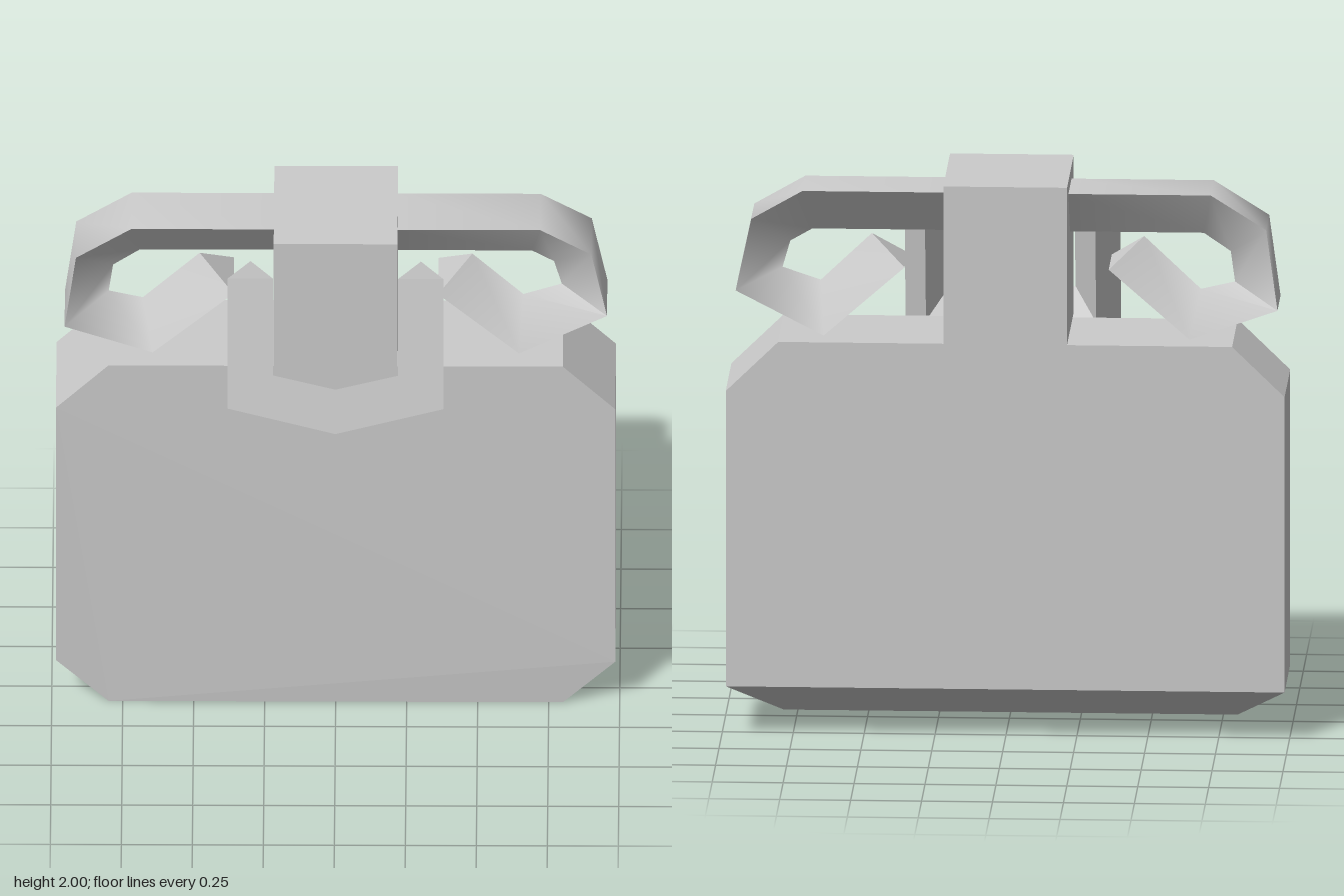
import * as THREE from 'three';
import { toCreasedNormals } from 'three/addons/utils/BufferGeometryUtils.js';

const grey = new THREE.MeshStandardMaterial({ color: 0xcccccc });

function addMesh(parent, name, geometry) {
  const mesh = new THREE.Mesh(geometry, grey);
  mesh.name = name;
  parent.add(mesh);
  return mesh;
}

// Solid bar with a triangular section, spanned between three rails of points
function triangularBar(r0, r1, r2, crease) {
  let rails = [r0, r1, r2].map((r) => r.map((p) => new THREE.Vector3(...p)));
  const [a, b, c] = rails.map((r) => r[0]);
  const normal = b.clone().sub(a).cross(c.clone().sub(a));
  if (normal.dot(rails[0][1].clone().sub(a)) < 0) rails = [rails[0], rails[2], rails[1]];

  const points = [];
  const last = r0.length - 1;
  for (let i = 0; i < last; i++) {
    for (let k = 0; k < 3; k++) {
      const p = rails[k], q = rails[(k + 1) % 3];
      points.push(p[i], q[i], q[i + 1], p[i], q[i + 1], p[i + 1]);
    }
  }
  points.push(rails[0][0], rails[2][0], rails[1][0]);
  points.push(rails[0][last], rails[1][last], rails[2][last]);
  const geometry = new THREE.BufferGeometry().setFromPoints(points);
  geometry.computeVertexNormals();
  return toCreasedNormals(geometry, crease);
}

// Chamfered slab whose underside slopes up towards the back
function bodyGeometry() {
  const outline = [[-0.8, 0], [0.8, 0], [0.985, 0.18], [0.985, 1.25],
    [0.8, 1.43], [-0.8, 1.43], [-0.985, 1.25], [-0.985, 0.18]];
  const shape = new THREE.Shape(outline.map(([x, y]) => new THREE.Vector2(x, y)));
  const geometry = new THREE.ExtrudeGeometry(shape, { depth: 0.415, bevelEnabled: false });
  geometry.translate(0, 0, -0.312);
  const pos = geometry.attributes.position;
  for (let i = 0; i < pos.count; i++) {
    if (pos.getY(i) > 0.1) continue;
    if (pos.getZ(i) < 0) pos.setXYZ(i, Math.sign(pos.getX(i)) * 0.985, 0.18, pos.getZ(i));
    else pos.setZ(i, 0.092);
  }
  geometry.computeVertexNormals();
  return geometry;
}

// Curled arm: two outer edges in front and behind, one ridge on the inside
function armGeometry(outer, inner) {
  const at = (path, z) => path.map(([x, y]) => [x, y, z]);
  return triangularBar(at(outer, 0.02), at(outer, -0.21), at(inner, -0.095), 0.9);
}

// Mirrors one half of a rail, ending at its middle point, into a full rail
function mirrored(half) {
  const other = half.slice(0, -1).reverse().map(([x, y, z]) => [-x, y, z]);
  return [...half, ...other];
}

export function createModel() {
  const model = new THREE.Group();
  model.name = 'model';

  addMesh(model, 'body', bodyGeometry());

  // Neck block, flush with the back of the body
  const neck = addMesh(model, 'neck', new THREE.BoxGeometry(0.436, 0.57, 0.494));
  neck.position.set(0, 1.715, -0.065);

  // Curled arms on both sides of the neck
  addMesh(model, 'leftArm', armGeometry(
    [[0.2, 1.953], [0.72, 1.953], [0.9, 1.85], [0.955, 1.59], [0.645, 1.43], [0.36, 1.68]],
    [[0.2, 1.79], [0.69, 1.79], [0.768, 1.745], [0.795, 1.65], [0.66, 1.605], [0.48, 1.776]]));
  addMesh(model, 'rightArm', armGeometry(
    [[-0.2, 1.953], [-0.72, 1.953], [-0.915, 1.83], [-0.955, 1.538], [-0.645, 1.43], [-0.36, 1.68]],
    [[-0.2, 1.79], [-0.69, 1.79], [-0.785, 1.725], [-0.8, 1.615], [-0.68, 1.587], [-0.48, 1.776]]));

  // Tilted U-shaped collar with a flat front and a ridge behind
  addMesh(model, 'collar', triangularBar(
    mirrored([[-0.38, 1.867, 0.203], [-0.38, 1.378, 0.296], [0, 1.283, 0.314]]),
    mirrored([[-0.22, 1.867, 0.203], [-0.22, 1.503, 0.272], [0, 1.45, 0.282]]),
    mirrored([[-0.3, 1.832, 0.04], [-0.3, 1.408, 0.122], [0, 1.335, 0.135]]), 0.3));

  return model;
}
